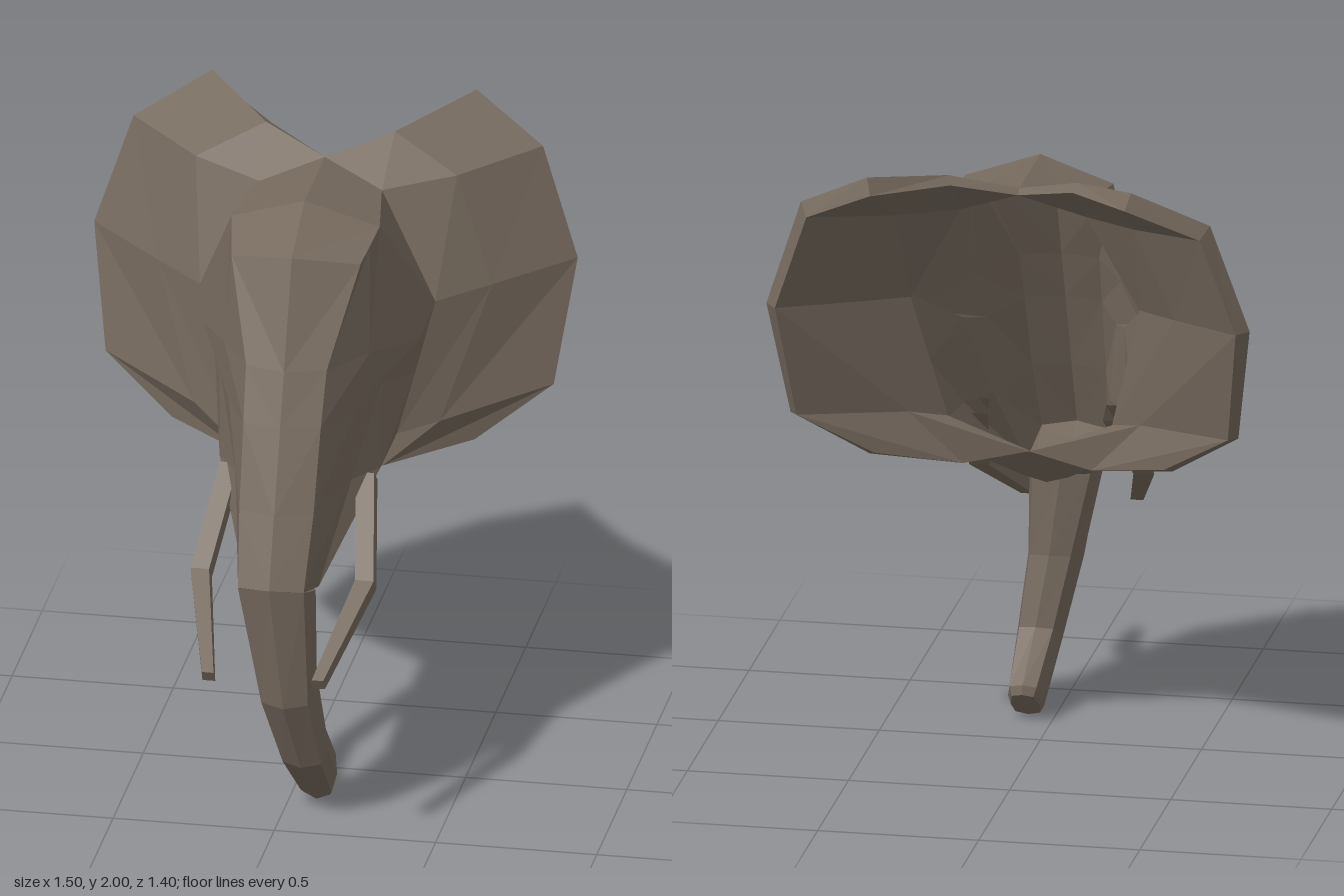
import * as THREE from 'three';

const hide = new THREE.MeshStandardMaterial({ color: 0x75695d, flatShading: true, side: THREE.DoubleSide });
hide.name = 'greyBrownHide';

// Faceted surface through rows of points: rows run downwards, columns to +x
function patch(name, rows, { mirror = false, flip = false } = {}) {
  const pos = [];
  const v = (p) => new THREE.Vector3(mirror ? -p[0] : p[0], p[1], p[2]);
  const tri = (a, b, c) => {
    const [p, q, r] = (mirror !== flip ? [a, c, b] : [a, b, c]).map(v);
    const area = q.clone().sub(p).cross(r.clone().sub(p)).length();
    if (area > 1e-7) for (const k of [p, q, r]) pos.push(k.x, k.y, k.z);
  };
  for (let r = 0; r + 1 < rows.length; r++) {
    for (let c = 0; c + 1 < rows[r].length; c++) {
      const a = rows[r][c], b = rows[r][c + 1], d = rows[r + 1][c], e = rows[r + 1][c + 1];
      tri(a, d, b);
      tri(b, d, e);
    }
  }
  const geo = new THREE.BufferGeometry();
  geo.setAttribute('position', new THREE.Float32BufferAttribute(pos, 3));
  geo.computeVertexNormals();
  const mesh = new THREE.Mesh(geo, hide);
  mesh.name = name;
  return mesh;
}

// Closed tube through rings, ending in a flat cap
function loft(name, rings, options) {
  const last = rings[rings.length - 1];
  const mid = [0, 1, 2].map((i) => last.reduce((s, p) => s + p[i], 0) / last.length);
  const rows = [...rings, last.map(() => mid)].map((r) => [...r, r[0]]);
  return patch(name, rows, options);
}

// Half of the hollow face and jaw, from the middle line round to the root of the ear
const face = [
  [[0, 1.785, 0.21], [0.2, 1.75, 0.14], [0.215, 1.78, 0.06], [0.23, 1.81, -0.02], [0.23, 1.81, -0.02]],
  [[0, 1.46, 0.34], [0.125, 1.46, 0.3], [0.225, 1.45, 0.12], [0.335, 1.4, -0.12], [0.365, 1.485, -0.22]],
  [[0, 1.3, 0.405], [0.12, 1.3, 0.37], [0.2, 1.29, 0.185], [0.25, 1.325, 0.06], [0.31, 1.26, -0.178]],
  [[0, 1.05, 0.505], [0.115, 1.05, 0.465], [0.18, 1.05, 0.18], [0.25, 1.05, 0.07], [0.26, 1.07, -0.14]],
  [[0, 0.84, 0.59], [0.102, 0.83, 0.557], [0.115, 0.775, 0.38], [0.16, 0.88, 0.03], [0.13, 1.025, -0.145]],
  [[0, 0.8, 0.5], [0.09, 0.755, 0.34], [0.1, 0.84, 0.17], [0.07, 0.825, 0.08], [0.07, 1.004, -0.147]],
  [[0, 0.8, 0.5], [0, 0.75, 0.33], [0, 0.86, 0.17], [0, 0.8, 0.1], [0, 0.98, -0.15]],
];

const crown = [
  [[0, 1.885, -0.34], [0.19, 1.82, -0.27]],
  [[0, 1.885, 0], [0.23, 1.81, -0.02]],
  [[0, 1.785, 0.21], [0.2, 1.75, 0.14]],
];

// Triangle between the crown and the root of the ear
const temple = [
  [[0.19, 1.82, -0.27], [0.365, 1.485, -0.22]],
  [[0.23, 1.81, -0.02], [0.23, 1.81, -0.02]],
];

// Ear sheets, from root to outer edge; they meet above and below the hollow
const earFront = [
  [[0, 1.885, -0.34], [0.2, 1.945, -0.435], [0.41, 2, -0.67]],
  [[0.19, 1.82, -0.27], [0.405, 1.845, -0.365], [0.635, 1.875, -0.565]],
  [[0.365, 1.485, -0.22], [0.52, 1.505, -0.335], [0.75, 1.53, -0.525]],
  [[0.26, 1.07, -0.14], [0.38, 1.09, -0.215], [0.695, 1.15, -0.42]],
  [[0, 0.98, -0.15], [0.21, 0.945, -0.175], [0.47, 0.995, -0.31]],
];
const earBack = [
  [[0, 1.87, -0.365], [0.19, 1.925, -0.475], [0.395, 1.95, -0.7]],
  [[0.195, 1.785, -0.28], [0.37, 1.8, -0.42], [0.61, 1.84, -0.61]],
  [[0.355, 1.485, -0.25], [0.49, 1.505, -0.385], [0.715, 1.53, -0.57]],
  [[0.255, 1.085, -0.17], [0.36, 1.12, -0.26], [0.67, 1.155, -0.46]],
  [[0, 0.99, -0.185], [0.2, 0.95, -0.215], [0.45, 1.01, -0.345]],
];

// Loop round an ear sheet: top, outer side, bottom, then up the root
const edge = (grid) => [
  ...grid[0],
  ...grid.slice(1).map((row) => row[2]),
  grid[4][1],
  ...grid.map((row) => row[0]).reverse(),
];

function trunk() {
  // Centre x, half width, front [y, z], back [y, z]
  const stations = [
    [0, 0.12, [0.84, 0.59], [0.75, 0.32]],
    [0.035, 0.085, [0.43, 0.545], [0.49, 0.32]],
    [0.07, 0.07, [0.19, 0.435], [0.27, 0.285]],
    [0.083, 0.056, [0.02, 0.262], [0.13, 0.14]],
    [0.083, 0.045, [0.005, 0.24], [0.1, 0.135]],
  ];
  // Width and depth fractions round one section
  const section = [[0, 0], [0.85, 0.12], [1, 0.5], [0.75, 0.92], [0, 1], [-0.75, 0.92], [-1, 0.5], [-0.85, 0.12]];
  return loft('trunk', stations.map(([cx, w, f, b]) => section.map(([s, t]) => [
    cx + w * s, f[0] + (b[0] - f[0]) * t, f[1] + (b[1] - f[1]) * t,
  ])));
}

function tusk(mirror) {
  // Centre x, y, z, half width, half thickness, slope angle in the side plane
  const stations = [
    [0.21, 1.03, 0.1, 0.032, 0.03, 0.8],
    [0.255, 0.78, 0.355, 0.032, 0.028, 0.65],
    [0.17, 0.583, 0.685, 0.02, 0.022, 0.5],
  ];
  const corners = [[-0.9, 1], [0.9, 1], [1, -0.8], [-1, -0.8]];
  return loft('tusk', stations.map(([x, y, z, w, t, a]) => corners.map(([s, u]) => [
    x + w * s, y + t * u * Math.cos(a), z + t * u * Math.sin(a),
  ])), { mirror });
}

export function createModel() {
  const model = new THREE.Group();
  model.name = 'elephantHead';
  for (const mirror of [false, true]) {
    const side = new THREE.Group();
    side.name = mirror ? 'rightHalf' : 'leftHalf';
    side.add(
      patch('face', face, { mirror }),
      patch('crown', crown, { mirror }),
      patch('temple', temple, { mirror }),
      patch('earFront', earFront, { mirror }),
      patch('earBack', earBack, { mirror, flip: true }),
      patch('earRim', [edge(earBack), edge(earFront)], { mirror }),
      tusk(mirror),
    );
    model.add(side);
  }
  model.add(trunk());
  return model;
}
